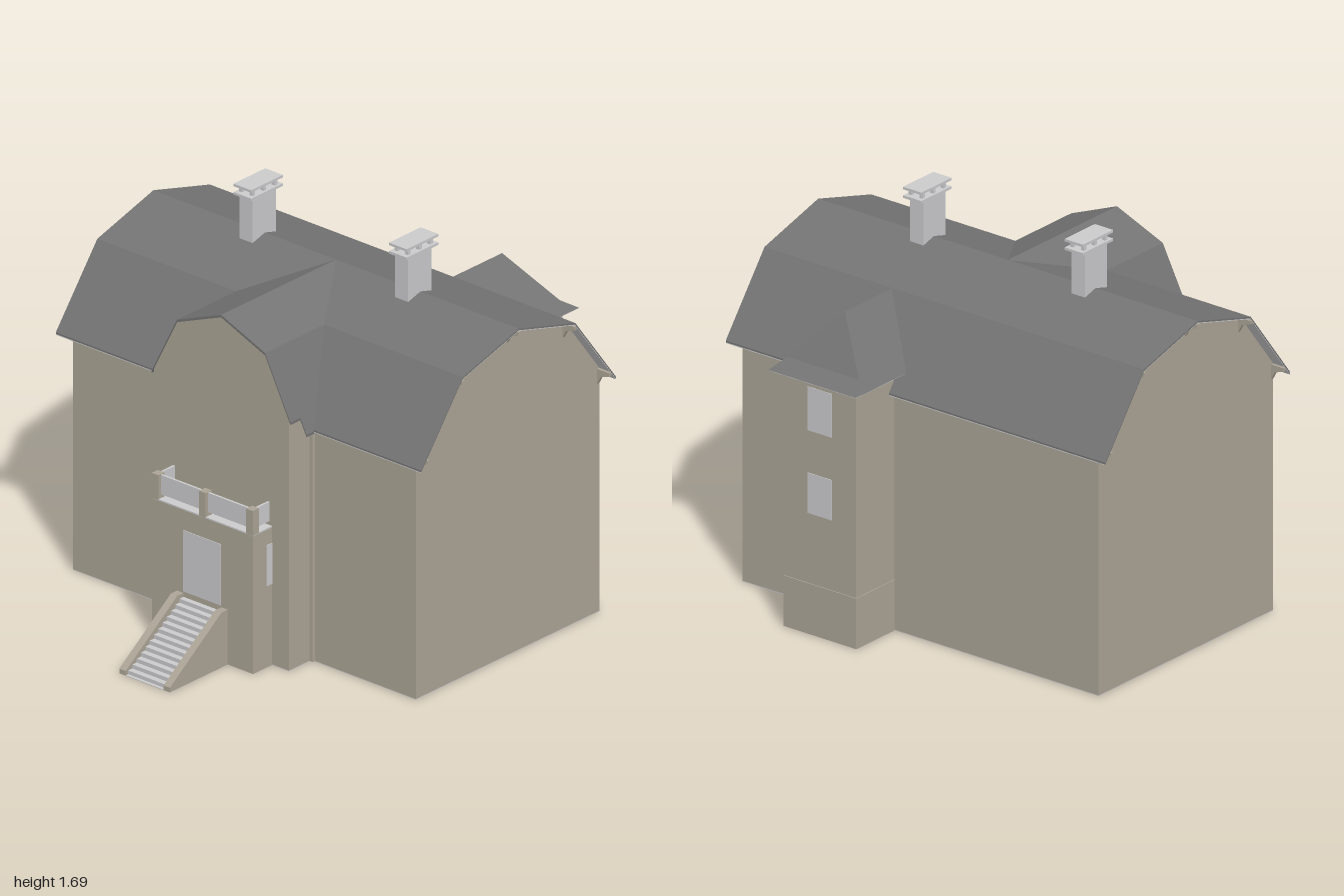
import * as THREE from 'three';

const mat = (name, color, side = THREE.FrontSide) => {
  const m = new THREE.MeshStandardMaterial({ color, side });
  m.name = name;
  return m;
};

export function createModel() {
  const model = new THREE.Group();
  model.name = 'house';
  const wall = mat('sandWall', 0xaca596);
  const roof = mat('slateRoof', 0x747474, THREE.DoubleSide);
  const pale = mat('paleGrey', 0xcbcbcd);

  const add = (name, geo, material) => {
    const mesh = new THREE.Mesh(geo, material);
    mesh.name = name;
    model.add(mesh);
    return mesh;
  };
  // Box given by its extents on each axis
  const box = (name, m, x0, x1, y0, y1, z0, z1) => {
    const g = new THREE.BoxGeometry(x1 - x0, y1 - y0, z1 - z0);
    g.translate((x0 + x1) / 2, (y0 + y1) / 2, (z0 + z1) / 2);
    return add(name, g, m);
  };
  // Profile in x-y, extruded from z0 to z1
  const extrudeZ = (pts, z0, z1) => {
    const shape = new THREE.Shape(pts.map(p => new THREE.Vector2(...p)));
    const g = new THREE.ExtrudeGeometry(shape, { depth: z1 - z0, bevelEnabled: false });
    return g.translate(0, 0, z0);
  };
  // Profile in z-y, extruded from x0 to x1
  const extrudeX = (pts, x0, x1) =>
    extrudeZ(pts.map(([z, y]) => [-z, y]), x0, x1).rotateY(Math.PI / 2);
  // Thin band under a roof line, between two drops
  const band = (line, top, bottom) => [
    ...line.map(([u, y]) => [u, y - top]),
    ...[...line].reverse().map(([u, y]) => [u, y - bottom]),
  ];

  // Main block and its gambrel roof
  const mainLine = [[-0.435, 1.042], [-0.185, 1.367], [0.152, 1.462], [0.492, 1.367], [0.738, 1.042]];
  add('mainWalls', extrudeZ([[-0.4, 0.003], [0.706, 0.003], [0.706, 1.073], [0.492, 1.356],
    [0.152, 1.451], [-0.185, 1.356], [-0.4, 1.076]], -0.915, 0.915), wall);
  add('mainRoof', extrudeZ(band(mainLine, 0, 0.007), -0.975, 0.975), roof);
  add('mainSoffit', extrudeZ(band(mainLine, 0.007, 0.011), -0.973, 0.973), pale);
  box('mainFloor', pale, -0.4, 0.706, 0, 0.003, -0.915, 0.915);

  // Sloping braces below the gable overhangs
  for (const s of [-1, 1]) {
    for (const [x, y] of [[-0.395, 1.075], [-0.185, 1.352], [0.152, 1.449], [0.49, 1.352], [0.698, 1.075]]) {
      const brace = [[0.91, y], [0.978, y], [0.978, y - 0.015], [0.935, y - 0.03], [0.915, y - 0.066], [0.91, y - 0.066]];
      add('gableBrace', extrudeX(brace.map(([z, h]) => [s * z, h]), x - 0.007, x + 0.007), wall);
    }
  }

  // Entrance wing with a matching cross gable
  const wingLine = (z, y) => [[-z, y], [-0.235, 1.367], [0, 1.462], [0.235, 1.367], [z, y]];
  add('wingWalls', extrudeX([[-0.36, 0.003], [0.36, 0.003], [0.36, 1.11], [0.235, 1.356],
    [0, 1.451], [-0.235, 1.356], [-0.36, 1.11]], -0.538, -0.3), wall);
  box('wingPilaster', wall, -0.415, -0.398, 0.003, 1.05, -0.378, 0.378);
  add('wingRoof', extrudeX(band(wingLine(0.403, 1.037), 0, 0.011), -0.48, 0.15), roof);
  add('wingRoofFront', extrudeX(band(wingLine(0.37, 1.102), 0, 0.011), -0.54, -0.48), roof);
  box('wingFloor', pale, -0.538, -0.4, 0, 0.003, -0.36, 0.36);

  // Stair tower, open below, on a slightly wider plinth
  const tz = 0.32;
  for (const [name, tx, h, y0, y1] of [['towerPlinth', 0.95, 0.187, 0, 0.22], ['tower', 0.946, 0.183, 0.22, 1.12]]) {
    box(name + 'OuterWall', wall, tx - 0.01, tx, y0, y1, tz - h, tz + h);
    for (const s of [-1, 1]) {
      const z = tz + s * (h - 0.005);
      box(name + 'SideWall', wall, 0.706, tx - 0.01, y0, y1, z - 0.005, z + 0.005);
    }
  }
  box('towerWindowUpper', pale, 0.946, 0.949, 0.885, 1.075, 0.26, 0.385);
  box('towerWindowLower', pale, 0.946, 0.949, 0.525, 0.7, 0.26, 0.385);

  // Flared hip roof of the tower, from paired cross-sections
  const quad = [];
  const tri = (...p) => p.forEach(v => quad.push(...v));
  const ridgeIn = [0.47, 1.365, tz], ridgeOut = [0.79, 1.365, tz];
  const at = (x, y, h) => [-1, 1].map(s => [x, y, tz + s * h]);
  const mid = at(0.93, 1.165, 0.184), eave = at(1, 1.12, 0.225), inner = at(0.6, 1.12, 0.225);
  // Outer hip
  tri(ridgeOut, mid[1], mid[0]);
  tri(mid[0], mid[1], eave[1], mid[0], eave[1], eave[0]);
  // Side slopes
  tri(ridgeIn, ridgeOut, mid[0], ridgeIn, mid[0], inner[0], inner[0], mid[0], eave[0]);
  tri(ridgeIn, mid[1], ridgeOut, ridgeIn, inner[1], mid[1], inner[1], eave[1], mid[1]);
  const hip = new THREE.BufferGeometry();
  hip.setAttribute('position', new THREE.Float32BufferAttribute(quad, 3));
  hip.computeVertexNormals();
  add('towerRoof', hip, roof);
  box('towerSoffit', pale, 0.68, 0.998, 1.117, 1.12, tz - 0.223, tz + 0.223);

  // Porch, open below, with a balcony on top
  box('porchFrontWall', wall, -0.652, -0.642, 0, 0.608, -0.27, 0.27);
  for (const s of [-1, 1]) {
    box('porchSideWall', wall, -0.642, -0.535, 0, 0.608, s * 0.265 - 0.005, s * 0.265 + 0.005);
    box('porchWindow', pale, -0.57, -0.538, 0.36, 0.54, s * 0.271 - 0.002, s * 0.271 + 0.002);
    box('balconySideRail', pale, -0.616, -0.538, 0.632, 0.717, s * 0.253 - 0.005, s * 0.253 + 0.005);
    box('balconyFrontRail', pale, -0.639, -0.629, 0.632, 0.717, s * 0.127 - 0.109, s * 0.127 + 0.109);
  }
  // Door shows on both faces of the wall
  for (const x of [-0.655, -0.642]) {
    box('porchDoor', pale, x, x + 0.003, 0.25, 0.52, -0.1, 0.1);
  }
  box('balconyFloor', pale, -0.652, -0.535, 0.608, 0.614, -0.27, 0.27);
  for (const z of [-0.252, 0, 0.252]) {
    box('balconyPost', wall, -0.653, -0.616, 0.61, 0.72, z - 0.018, z + 0.018);
  }

  // Outside stairs between solid side walls
  const cheek = [[-1, 0], [-0.65, 0], [-0.65, 0.242], [-0.69, 0.242], [-1, 0.02]];
  for (const s of [-1, 1]) {
    add('stairCheek', extrudeZ(cheek, s * 0.118 - 0.017, s * 0.118 + 0.017), wall);
  }
  const steps = 13, run = 0.335 / steps, rise = 0.225 / steps;
  for (let i = 0; i < steps; i++) {
    const x = -0.985 + i * run, y = (i + 1) * rise;
    box('stairStep', pale, x, x + run, Math.max(0, y - 2 * rise), y, -0.102, 0.102);
  }
  box('stairFloor', pale, -0.999, -0.652, -0.002, 0.001, -0.134, 0.134);

  // Chimneys with raised caps
  for (const z of [-0.415, 0.415]) {
    box('chimneyStack', pale, 0.078, 0.219, 1.38, 1.642, z - 0.035, z + 0.035);
    box('chimneyCollar', pale, 0.055, 0.247, 1.638, 1.649, z - 0.047, z + 0.047);
    box('chimneyCap', pale, 0.055, 0.247, 1.675, 1.686, z - 0.047, z + 0.047);
    for (const x of [0.084, 0.151, 0.218]) {
      for (const s of [-1, 1]) {
        box('chimneyCapPost', pale, x - 0.008, x + 0.008, 1.649, 1.675, z + s * 0.028 - 0.008, z + s * 0.028 + 0.008);
      }
    }
  }
  return model;
}
